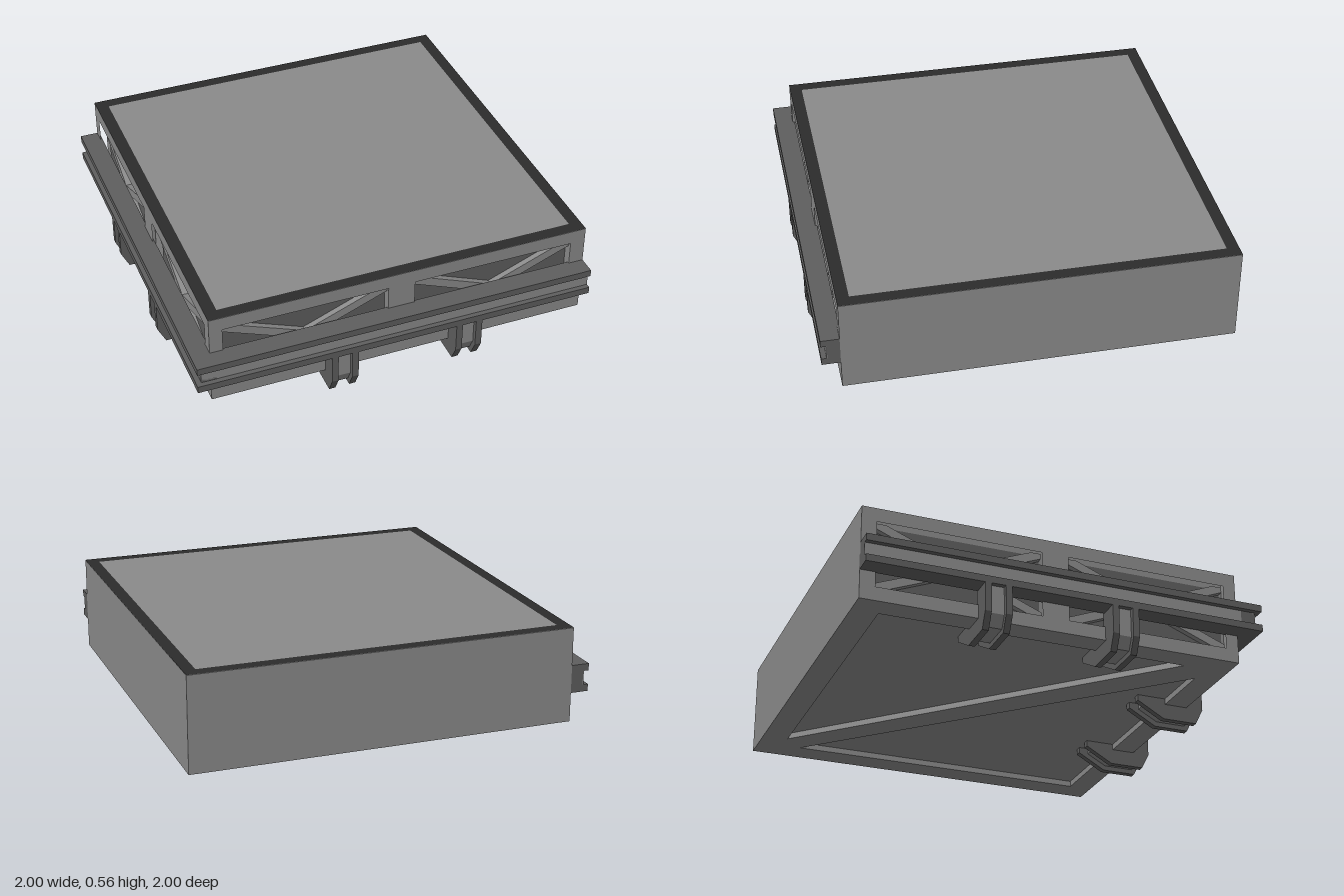
import * as THREE from 'three';

const mat = (name, color, side = THREE.FrontSide) => {
  const m = new THREE.MeshStandardMaterial({ color, side });
  m.name = name;
  return m;
};
const polygon = (pts, Type = THREE.Shape) => new Type(pts.map(([x, y]) => new THREE.Vector2(x, y)));
const rect = (x0, y0, x1, y1, Type) => polygon([[x0, y0], [x1, y0], [x1, y1], [x0, y1]], Type);
const extrude = (shape, depth) => new THREE.ExtrudeGeometry(shape, { depth, bevelEnabled: false });

export function createModel() {
  const model = new THREE.Group();
  model.name = 'platformModule';
  const grey = mat('grey', 0x8a8a8a);
  const dark = mat('darkGrey', 0x5e5e5e);
  const black = mat('black', 0x2c2c2c);

  const add = (parent, name, geometry, material, x = 0, y = 0, z = 0) => {
    const mesh = new THREE.Mesh(geometry, material);
    mesh.name = name;
    mesh.position.set(x, y, z);
    parent.add(mesh);
    return mesh;
  };
  const box = (parent, name, material, x0, x1, y0, y1, z0, z1) =>
    add(parent, name, new THREE.BoxGeometry(x1 - x0, y1 - y0, z1 - z0), material,
      (x0 + x1) / 2, (y0 + y1) / 2, (z0 + z1) / 2);

  // Solid core
  box(model, 'core', grey, -0.86, 1, 0.11, 0.555, -1, 0.86);

  // Underside slab with two triangular recesses either side of a diagonal beam
  const slab = rect(-0.86, -0.86, 1, 1); // shape y is -z
  slab.holes.push(
    polygon([[0.87, 0.775], [0.87, -0.79], [-0.675, -0.79]], THREE.Path),
    polygon([[0.775, 0.87], [-0.79, 0.87], [-0.79, -0.675]], THREE.Path));
  add(model, 'undersideFrame', extrude(slab, 0.03), grey, 0, 0.08, 0).rotation.x = -Math.PI / 2;

  // Flat top: black border around a grey deck
  const border = rect(-0.91, -0.91, 1, 1);
  border.holes.push(rect(-0.85, -0.85, 0.94, 0.94, THREE.Path));
  add(model, 'topBorder', new THREE.ShapeGeometry(border), black, 0, 0.557, 0).rotation.x = -Math.PI / 2;
  box(model, 'deck', grey, -0.85, 0.94, 0.553, 0.557, -0.94, 0.85);

  // Bracket outlines as (z, y)
  const plateShape = polygon([[0.89, 0.225], [1, 0.225], [1, 0.08], [0.96, 0], [0.78, 0],
    [0.64, 0.08], [0.64, 0.11], [0.89, 0.11]]);
  const webShape = polygon([[0.89, 0.225], [0.975, 0.225], [0.975, 0.085], [0.945, 0.025], [0.79, 0.025],
    [0.69, 0.08], [0.69, 0.11], [0.89, 0.11]]);

  // One detailed side, facing local +z; s = -1 mirrors the layout along x
  function detailedSide(name, s) {
    const side = new THREE.Group();
    side.name = name;
    model.add(side);

    // Wall with two windows, each crossed by an X brace
    const wall = rect(-0.91 * s, 0.08, s, 0.555);
    for (const [a, b] of [[-0.845, -0.025], [0.11, 0.925]]) {
      wall.holes.push(rect(a * s, 0.15, b * s, 0.485, THREE.Path));
      const cx = s * (a + b) / 2, h = (b - a) / 2;
      box(side, 'recessPanel', dark, cx - h, cx + h, 0.15, 0.485, 0.858, 0.863);
      for (const d of [-1, 1]) {
        // Brace clipped to the corners of the window
        const brace = polygon([[-h, -0.1675], [-h + 0.05, -0.1675], [h, 0.1415], [h, 0.1675],
          [h - 0.05, 0.1675], [-h, -0.1415]].map(([x, y]) => [x, y * d]));
        add(side, 'brace', extrude(brace, 0.03), grey, cx, 0.3175, 0.862);
      }
    }
    add(side, 'wall', extrude(wall, 0.05), grey, 0, 0, 0.86);

    // Grooved rail
    for (const y of [0.225, 0.33]) box(side, 'railFlange', dark, -1, 1, y, y + 0.035, 0.9, 1);
    const x0 = s > 0 ? -0.975 : -1, x1 = s > 0 ? 1 : 0.975;
    box(side, 'railCore', dark, x0, x1, 0.26, 0.33, 0.9, 0.971);
    box(side, 'railGroove', grey, x0, x1, 0.26, 0.33, 0.971, 0.975);

    // Two hooked brackets: twin plates around a lighter web
    for (const c of [-0.275, 0.3625]) {
      for (const [part, shape, w, off, m] of [['bracketPlate', plateShape, 0.032, -0.051, dark],
        ['bracketWeb', webShape, 0.07, 0, grey], ['bracketPlate', plateShape, 0.032, 0.051, dark]]) {
        add(side, part, extrude(shape, w), m, c * s + off + w / 2).rotation.y = -Math.PI / 2;
      }
    }
    return side;
  }
  detailedSide('frontSide', 1);
  detailedSide('rightSide', -1).rotation.y = -Math.PI / 2;

  return model;
}
